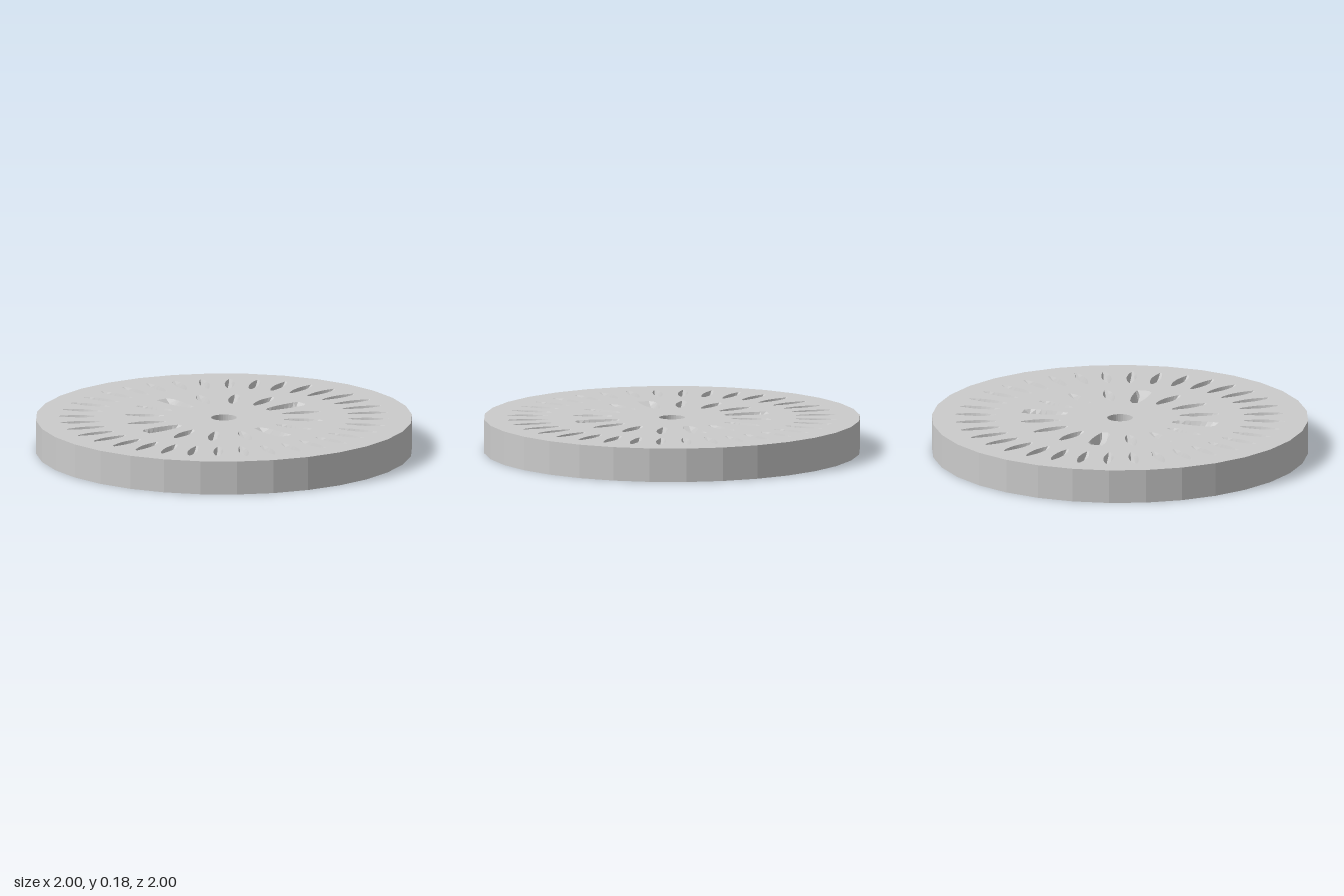
import * as THREE from 'three';

const HEIGHT = 0.18, SIDES = 32, BORE = 0.068, STEPS = 8;

// Point in the disc plane, given radius, sideways offset and ring angle
const polar = (r, w, a) => new THREE.Vector2(
  r * Math.cos(a) - w * Math.sin(a), r * Math.sin(a) + w * Math.cos(a));

const circle = (r) => Array.from({ length: SIDES }, (_, i) => polar(r, 0, (i / SIDES) * Math.PI * 2));

// Cross-sections of a scooped groove: radius, half width and depth along its length
function grooveStations({ r0, r1, inner, mid, outer, depth }) {
  return Array.from({ length: STEPS + 1 }, (_, i) => {
    const t = i / STEPS;
    const ends = inner + (outer - inner) * t;
    const bulge = Math.sin(Math.PI * t);
    return { r: r0 + (r1 - r0) * t, h: ends + (mid - (inner + outer) / 2) * bulge, d: depth * bulge };
  });
}

function grooveOutline(stations, a) {
  return [
    ...stations.map((s) => polar(s.r, -s.h, a)),
    ...[...stations].reverse().map((s) => polar(s.r, s.h, a)),
  ];
}

// Sloping walls and narrow floor of one groove, appended as triangles
function addGroove(out, stations, a) {
  const rows = stations.map(({ r, h, d }) =>
    [[-1, 0], [-0.5, 1], [0.5, 1], [1, 0]].map(([k, low]) => {
      const p = polar(r, k * h, a);
      return [p.x, HEIGHT - low * d, -p.y];
    }));
  for (let i = 0; i < STEPS; i++) {
    for (let j = 0; j < 3; j++) {
      const A = rows[i][j], B = rows[i + 1][j], C = rows[i + 1][j + 1], D = rows[i][j + 1];
      out.push(...A, ...B, ...C, ...A, ...C, ...D);
    }
  }
}

export function createModel() {
  const group = new THREE.Group();
  const material = new THREE.MeshStandardMaterial({
    color: 0xcccccc, flatShading: true, side: THREE.DoubleSide });
  const add = (name, geometry) => {
    const mesh = new THREE.Mesh(geometry, material);
    mesh.name = name;
    group.add(mesh);
    return mesh;
  };

  const top = new THREE.Shape(circle(1));
  top.holes.push(new THREE.Path(circle(BORE)));

  // Two rings of radial grooves; the four inner ones on the axes are wider
  const small = { r0: 0.32, r1: 0.53, inner: 0.01, mid: 0.03, outer: 0.01, depth: 0.045 };
  const wide = { r0: 0.29, r1: 0.53, inner: 0.022, mid: 0.042, outer: 0.042, depth: 0.06 };
  const long = { r0: 0.66, r1: 0.875, inner: 0.008, mid: 0.026, outer: 0.008, depth: 0.045 };
  const rings = [
    { name: 'innerGrooves', count: 16, pick: (i) => (i % 4 === 0 ? wide : small) },
    { name: 'outerGrooves', count: 36, pick: () => long },
  ];
  for (const { name, count, pick } of rings) {
    const positions = [];
    for (let i = 0; i < count; i++) {
      const a = (i / count) * Math.PI * 2;
      const stations = grooveStations(pick(i));
      top.holes.push(new THREE.Path(grooveOutline(stations, a)));
      addGroove(positions, stations, a);
    }
    const geometry = new THREE.BufferGeometry();
    geometry.setAttribute('position', new THREE.Float32BufferAttribute(positions, 3));
    geometry.computeVertexNormals();
    add(name, geometry);
  }

  // Top face with the bore and grooves cut out
  add('topFace', new THREE.ShapeGeometry(top).rotateX(-Math.PI / 2).translate(0, HEIGHT, 0));

  // Plain underside with the bore
  const bottom = new THREE.Shape(circle(1));
  bottom.holes.push(new THREE.Path(circle(BORE)));
  add('underside', new THREE.ShapeGeometry(bottom).rotateX(Math.PI / 2));

  // Faceted rim and bore wall
  const wall = (r) => new THREE.CylinderGeometry(r, r, HEIGHT, SIDES, 1, true).translate(0, HEIGHT / 2, 0);
  add('rim', wall(1));
  const bore = wall(BORE);
  bore.index.array.reverse(); // faces the axis
  add('boreWall', bore);

  return group;
}
